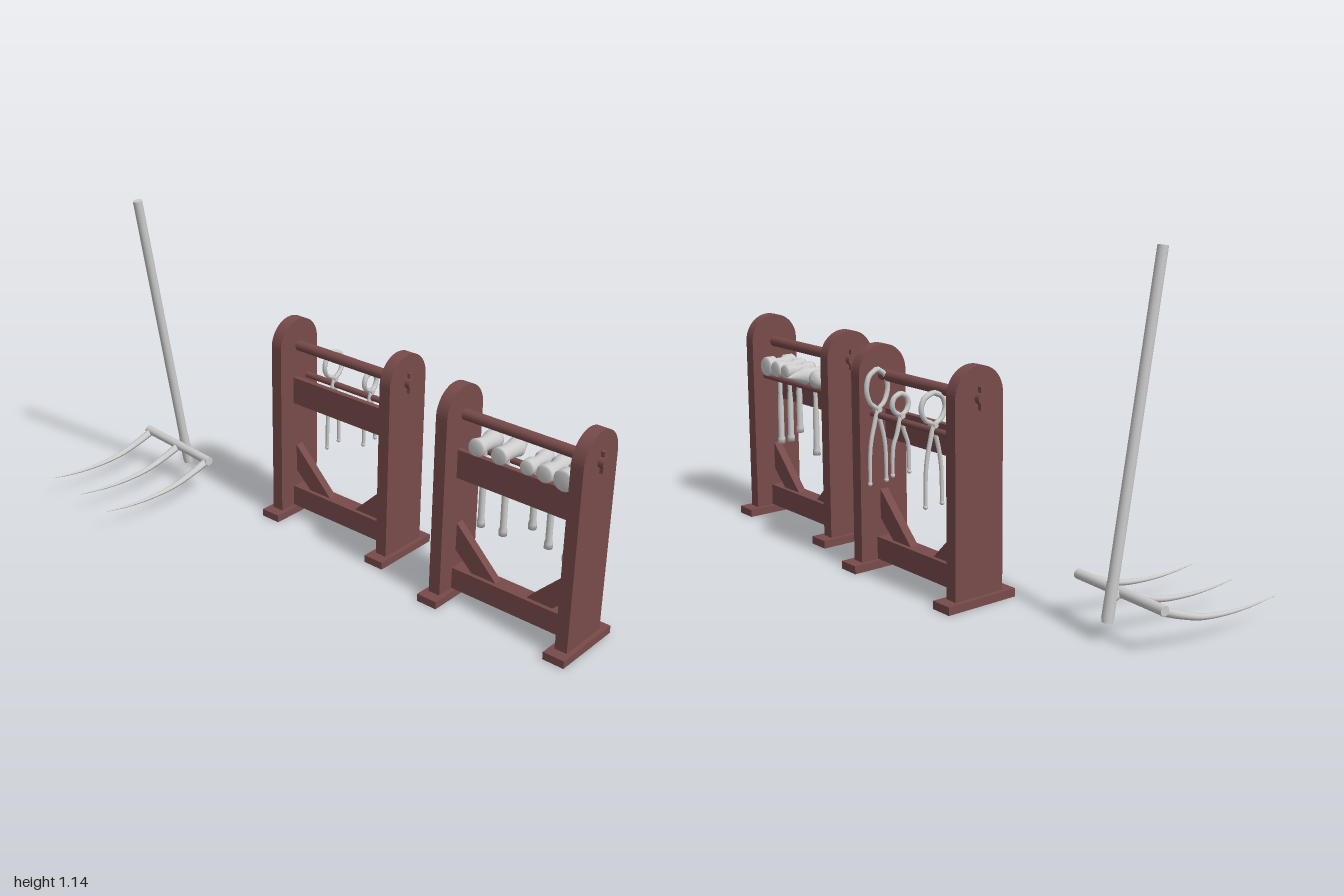
import * as THREE from 'three';

const wood = new THREE.MeshStandardMaterial({ color: 0x784a4a });
const steel = new THREE.MeshStandardMaterial({ color: 0xcccccc });
const V = (x, y, z) => new THREE.Vector3(x, y, z);

function add(parent, name, geo, mat, x = 0, y = 0, z = 0) {
  const m = new THREE.Mesh(geo, mat);
  m.name = name;
  m.position.set(x, y, z);
  parent.add(m);
  return m;
}

// Cylinder between two points
function rod(parent, name, a, b, r0, r1, mat, sides = 16) {
  const m = add(parent, name, new THREE.CylinderGeometry(r1, r0, a.distanceTo(b), sides), mat);
  m.position.copy(a).add(b).multiplyScalar(0.5);
  m.quaternion.setFromUnitVectors(V(0, 1, 0), b.clone().sub(a).normalize());
  return m;
}

// Tube along a curve whose radius follows radiusAt(t), flattened across by thick
function taperTube(points, radiusAt, segs = 28, sides = 10) {
  const curve = new THREE.CatmullRomCurve3(points);
  const geo = new THREE.TubeGeometry(curve, segs, 1, sides);
  const pos = geo.attributes.position, v = V(), c = V();
  for (let i = 0; i < pos.count; i++) {
    const t = Math.floor(i / (sides + 1)) / segs;
    curve.getPointAt(t, c);
    v.fromBufferAttribute(pos, i).sub(c).multiplyScalar(radiusAt(t)).add(c);
    pos.setXYZ(i, v.x, v.y, v.z);
  }
  geo.computeVertexNormals();
  return geo;
}

// Extrusion of a shape, centred on its thickness
function slab(shape, depth) {
  const g = new THREE.ExtrudeGeometry(shape, { depth, bevelEnabled: false, curveSegments: 12 });
  return g.translate(0, 0, -depth / 2);
}

function createRack(x, z) {
  const g = new THREE.Group();
  g.name = 'rack';
  g.position.set(x, 0, z);
  g.rotation.y = 0.09;

  const post = new THREE.Shape();
  post.moveTo(-0.094, 0.02);
  post.lineTo(0.094, 0.02);
  post.lineTo(0.094, 0.661);
  post.absarc(0, 0.661, 0.094, 0, Math.PI, false);
  post.closePath();

  const brace = new THREE.Shape([[0.227, 0.17], [0.227, 0.27], [0.055, 0.1], [0.14, 0.09]]
    .map(p => new THREE.Vector2(...p)));

  for (const s of [-1, 1]) {
    add(g, 'foot', new THREE.BoxGeometry(0.268, 0.027, 0.077), wood, 0, 0.0135, s * 0.247);
    add(g, 'post', slab(post, 0.044), wood, 0, 0, s * 0.247);
    add(g, 'peg', new THREE.BoxGeometry(0.011, 0.072, 0.012), wood, 0, 0.655, s * 0.276);
    const b = add(g, 'brace', slab(brace, 0.03).rotateY(-Math.PI / 2), wood);
    if (s < 0) b.rotation.y = Math.PI;
  }
  rod(g, 'topRail', V(0, 0.655, -0.288), V(0, 0.655, 0.288), 0.019, 0.019, wood);
  rod(g, 'frontRail', V(0.043, 0.53, -0.23), V(0.043, 0.53, 0.23), 0.011, 0.011, wood);
  add(g, 'backBoard', new THREE.BoxGeometry(0.02, 0.1, 0.455), wood, -0.02, 0.49, 0);
  add(g, 'bottomBeam', new THREE.BoxGeometry(0.06, 0.077, 0.455), wood, 0, 0.067, 0);
  return g;
}

// Head profiles: [position along the head, radius] with unit radius
const heads = {
  sledge: [[-0.062, 0], [-0.062, 0.85], [-0.054, 1], [-0.025, 1], [-0.016, 0.75], [0.016, 0.75],
    [0.025, 1], [0.054, 1], [0.062, 0.85], [0.062, 0]],
  spike: [[-0.055, 0], [-0.055, 0.8], [-0.048, 0.9], [-0.018, 0.8], [0.02, 0.85], [0.045, 1], [0.065, 0.7], [0.118, 0]],
  round: [[-0.055, 0], [-0.055, 0.8], [-0.045, 0.95], [-0.015, 0.75], [0.012, 0.8], [0.035, 1],
    [0.058, 0.93], [0.07, 0.6], [0.075, 0]],
};

function createHammer(z, type, r, bottom) {
  const g = new THREE.Group();
  g.name = 'hammer';
  g.position.set(0.012, 0, z);
  const pts = heads[type].map(([a, k]) => new THREE.Vector2(k * r, a));
  add(g, 'hammerHead', new THREE.LatheGeometry(pts, 20).rotateZ(-Math.PI / 2), steel, 0, 0.573, 0);
  const grip = [[0, 0], [0.014, 0], [0.014, 0.018], [0.011, 0.028], [0.011, 0.15], [0.008, 0.19], [0.008, 0.573 - bottom]]
    .map(p => new THREE.Vector2(...p));
  add(g, 'hammerHandle', new THREE.LatheGeometry(grip, 14), steel, 0, bottom, 0);
  return g;
}

// Two crossing arms: curved jaws above the pivot, long reins below it
function createTongs(z, pivot, top, bottom, w) {
  const g = new THREE.Group();
  g.name = 'tongs';
  g.position.set(0.045, 0, z);
  const h = top - pivot;
  for (const s of [-1, 1]) {
    const path = [
      V(s * 0.005, top, 0), V(s * w * 0.75, pivot + h * 0.85, 0), V(s * w, pivot + h * 0.5, 0),
      V(s * w * 0.6, pivot + h * 0.16, s * 0.003), V(0, pivot, s * 0.006),
      V(-s * 0.02, pivot - 0.06, s * 0.006), V(-s * 0.033, (pivot + bottom) / 2, s * 0.005), V(-s * 0.036, bottom, s * 0.004),
    ];
    add(g, 'tongArm', taperTube(path, t => 0.009 - 0.003 * t, 36, 8), steel);
    add(g, 'reinTip', new THREE.SphereGeometry(0.008, 10, 8), steel, -s * 0.036, bottom + 0.004, s * 0.004);
    add(g, 'jawTip', new THREE.SphereGeometry(0.009, 10, 8), steel, s * 0.005, top, 0);
  }
  rod(g, 'rivet', V(0, pivot, -0.016), V(0, pivot, 0.016), 0.009, 0.009, steel, 12);
  return g;
}

function createFork() {
  const g = new THREE.Group();
  g.name = 'fork';
  g.position.z = -0.806;
  rod(g, 'forkHandle', V(0.091, 0.058, 0), V(-0.085, 1.135, 0), 0.017, 0.0165, steel, 18);
  rod(g, 'collar', V(0.089, 0.07, 0), V(0.072, 0.175, 0), 0.019, 0.018, steel, 18);
  rod(g, 'crossBar', V(0.045, 0.142, -0.192), V(0.045, 0.142, 0.192), 0.016, 0.016, steel);
  rod(g, 'socket', V(0.045, 0.142, 0), V(0.08, 0.13, 0), 0.016, 0.018, steel);
  for (const z of [-0.176, 0, 0.176]) {
    const path = [V(0.045, 0.138, z), V(-0.03, 0.11, z), V(-0.11, 0.087, z), V(-0.22, 0.076, z),
      V(-0.32, 0.078, z), V(-0.41, 0.088, z)];
    add(g, 'tine', taperTube(path, t => 0.014 * (1 - t) + 0.001), steel);
  }
  return g;
}

export function createModel() {
  const model = new THREE.Group();
  model.name = 'toolRacks';

  // Hammer rack at the front
  const hammerRack = createRack(0.245, 0.705);
  for (const [z, type, r, bottom] of [
    [0.175, 'sledge', 0.036, 0.275], [0.108, 'sledge', 0.03, 0.295], [0.045, 'sledge', 0.026, 0.34],
    [-0.063, 'spike', 0.033, 0.275], [-0.15, 'round', 0.033, 0.275],
  ]) hammerRack.add(createHammer(z, type, r, bottom));

  // Tong rack in the middle
  const tongRack = createRack(0.247, -0.083);
  for (const [z, pivot, top, bottom, w] of [
    [0.194, 0.55, 0.68, 0.3, 0.042], [0.069, 0.55, 0.62, 0.355, 0.032], [-0.101, 0.55, 0.65, 0.288, 0.047],
  ]) tongRack.add(createTongs(z, pivot, top, bottom, w));

  model.add(hammerRack, tongRack, createFork());
  return model;
}
